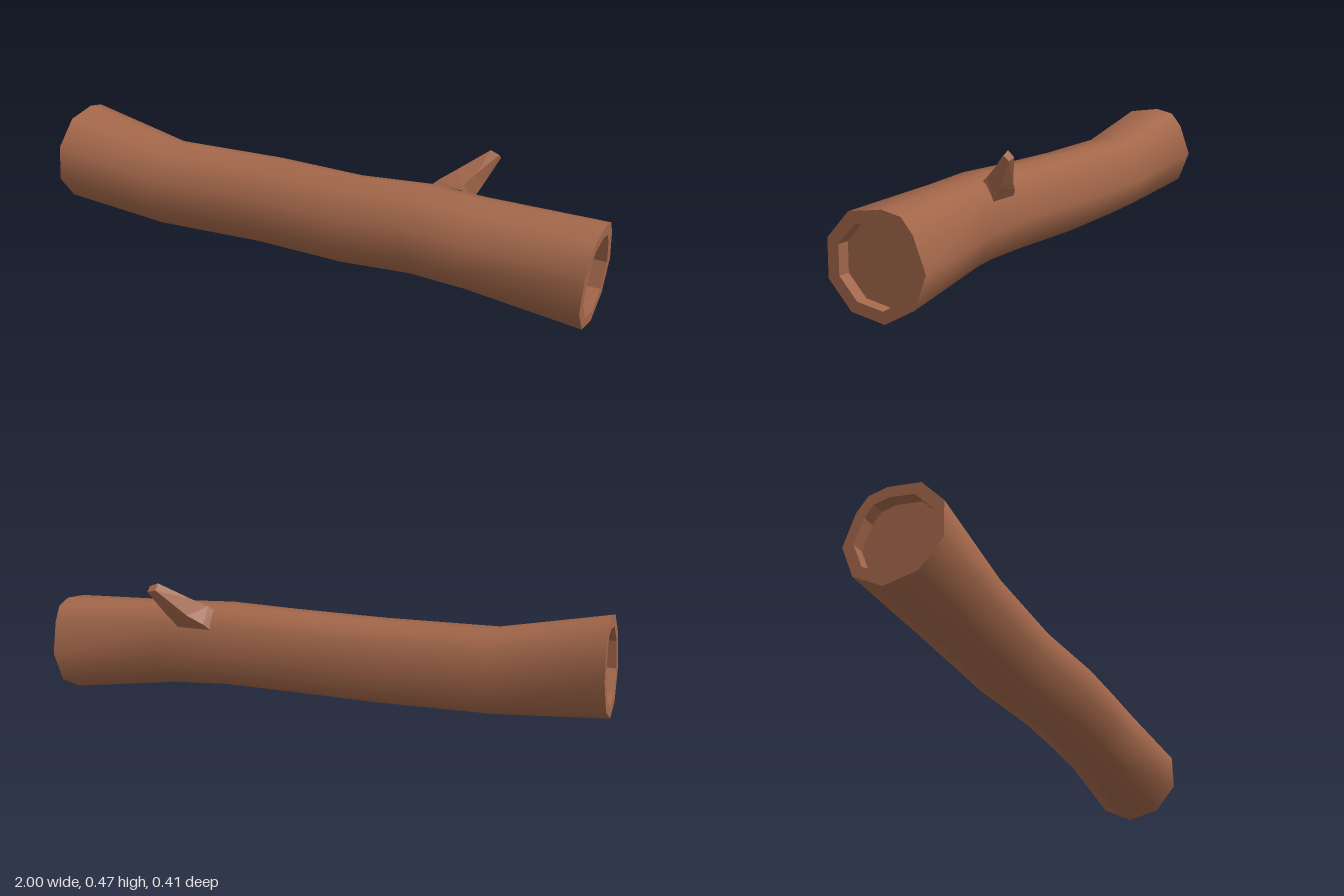
import * as THREE from 'three';

const bark = new THREE.MeshStandardMaterial({ color: 0xa3674a });
bark.name = 'bark';

// Skin a list of closed rings; smooth shares vertices, otherwise faceted
function loft(name, rings, smooth) {
  const n = rings[0].length, index = [];
  for (let i = 0; i < rings.length - 1; i++) {
    for (let j = 0; j < n; j++) {
      const k = (j + 1) % n;
      const a = i * n + j, b = i * n + k, c = a + n, d = b + n;
      index.push(a, b, c, b, d, c);
    }
  }
  let geo = new THREE.BufferGeometry();
  geo.setAttribute('position', new THREE.Float32BufferAttribute(rings.flat(2), 3));
  geo.setIndex(index);
  if (!smooth) geo = geo.toNonIndexed();
  geo.computeVertexNormals();
  const mesh = new THREE.Mesh(geo, bark);
  mesh.name = name;
  return mesh;
}

// Ten-sided trunk section as [z, y] offsets from its centre
const section = [
  [-0.019, -0.1715], [-0.124, -0.1155], [-0.169, -0.0055], [-0.132, 0.1065], [-0.094, 0.1565],
  [-0.029, 0.1715], [0.086, 0.1565], [0.166, 0.0715], [0.171, -0.0535], [0.096, -0.1465],
];

// Trunk ring; lean tilts it in x by height, skew tilts it in x by depth
function ring({ x, y, z, s, lean = 0, skew = 0 }, shrink = 1, shift = 0) {
  return section.map(([dz, dy]) => {
    const v = dy * s * shrink, w = dz * s * shrink;
    return [x + shift + lean * v + skew * w, y + v, z + w];
  });
}

export function createModel() {
  const model = new THREE.Group();
  model.name = 'log';

  // Gently bent trunk, flared at both ends
  const stations = [
    { x: -0.992, y: 0.26, z: 0.034, s: 1, lean: 0.044, skew: 0.015 },
    { x: -0.6, y: 0.206, z: 0.04, s: 0.87 },
    { x: -0.2, y: 0.208, z: 0.017, s: 0.865 },
    { x: 0.13, y: 0.208, z: 0.03, s: 0.865 },
    { x: 0.38, y: 0.217, z: 0.012, s: 0.875 },
    { x: 0.58, y: 0.206, z: 0.009, s: 0.88 },
    { x: 0.99, y: 0.1735, z: -0.006, s: 1, lean: 0.058, skew: 0.025 },
  ];
  model.add(loft('trunk', stations.map((st) => ring(st)), true));

  // Hollowed ends: rim, short inner wall, recessed floor
  const depth = 0.045;
  for (const [name, st, side] of [['rightEnd', stations[0], -1], ['leftEnd', stations[6], 1]]) {
    const end = new THREE.Group();
    end.name = name;
    const outer = ring(st), lip = ring(st, 0.77);
    const base = ring(st, 0.77, -side * depth), centre = ring(st, 0, -side * depth);
    const add = (part, a, b) => end.add(loft(part, side > 0 ? [a, b] : [b, a], false));
    add('rim', outer, lip);
    add('innerWall', lip, base);
    add('recessFloor', base, centre);
    model.add(end);
  }

  // Broken twig stub, four-sided with a flared root
  const tip = [[0.545, 0.467, -0.184], [0.576, 0.455, -0.184], [0.576, 0.438, -0.205], [0.545, 0.446, -0.205]];
  model.add(loft('twig', [
    [[0.385, 0.355, -0.062], [0.495, 0.355, -0.062], [0.51, 0.29, -0.105], [0.38, 0.29, -0.105]],
    [[0.405, 0.372, -0.078], [0.495, 0.37, -0.078], [0.52, 0.317, -0.125], [0.405, 0.317, -0.125]],
    [[0.455, 0.405, -0.117], [0.522, 0.4, -0.117], [0.535, 0.347, -0.148], [0.455, 0.35, -0.148]],
    tip,
    tip.map(() => [0.56, 0.452, -0.195]),
  ], false));

  return model;
}
